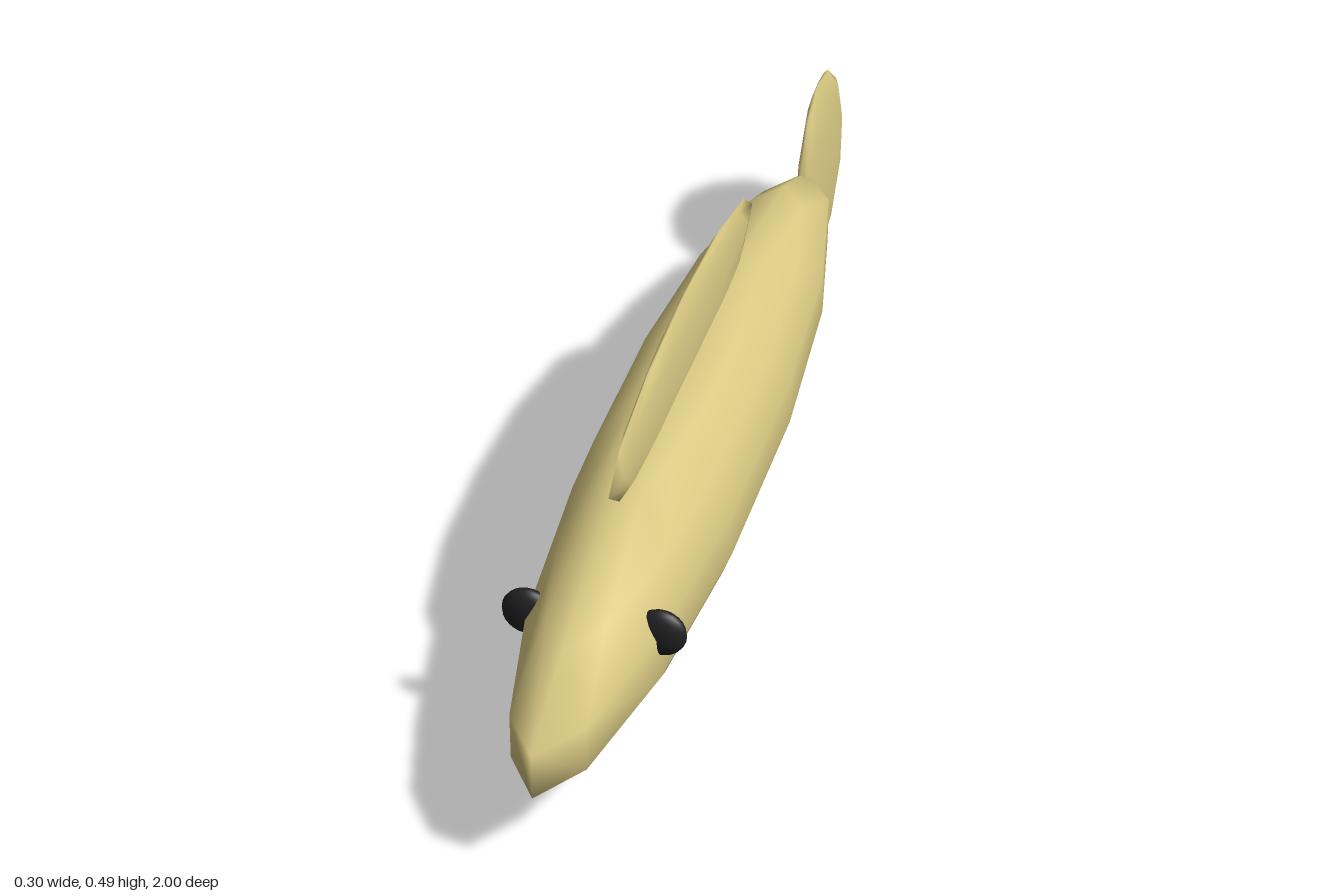
import * as THREE from 'three';

const skin = new THREE.MeshStandardMaterial({ color: 0xd8c882 });
skin.name = 'paleGold';
const dark = new THREE.MeshStandardMaterial({ color: 0x222224 });
dark.name = 'charcoal';

// Ellipsoid with its poles up and a vertex column on the z axis
function ellipsoid(name, material, [rx, ry, rz], [x, y, z], segments, rings) {
  const geometry = new THREE.SphereGeometry(1, segments, rings);
  geometry.rotateY(-Math.PI / 2);
  geometry.scale(rx, ry, rz);
  const mesh = new THREE.Mesh(geometry, material);
  mesh.name = name;
  mesh.position.set(x, y, z);
  return mesh;
}

export function createModel() {
  const fish = new THREE.Group();
  fish.name = 'fish';

  // Long body, nose towards +z
  fish.add(ellipsoid('body', skin, [0.142, 0.181, 0.892], [0, 0.184, 0.128], 14, 7));

  // Thin fin along the back
  fish.add(ellipsoid('dorsalFin', skin, [0.015, 0.095, 0.45], [0, 0.4, 0.12], 12, 6));

  // Flat tail, leaning slightly forward
  const tail = ellipsoid('tailFin', skin, [0.02, 0.184, 0.161], [0, 0.185, -0.84], 12, 6);
  tail.rotation.x = 0.17;
  fish.add(tail);

  // Bulging eyes on both sides
  for (const side of [1, -1]) {
    const name = side > 0 ? 'leftEye' : 'rightEye';
    fish.add(ellipsoid(name, dark, [0.042, 0.042, 0.02], [side * 0.108, 0.228, 0.66], 16, 12));
  }

  return fish;
}
